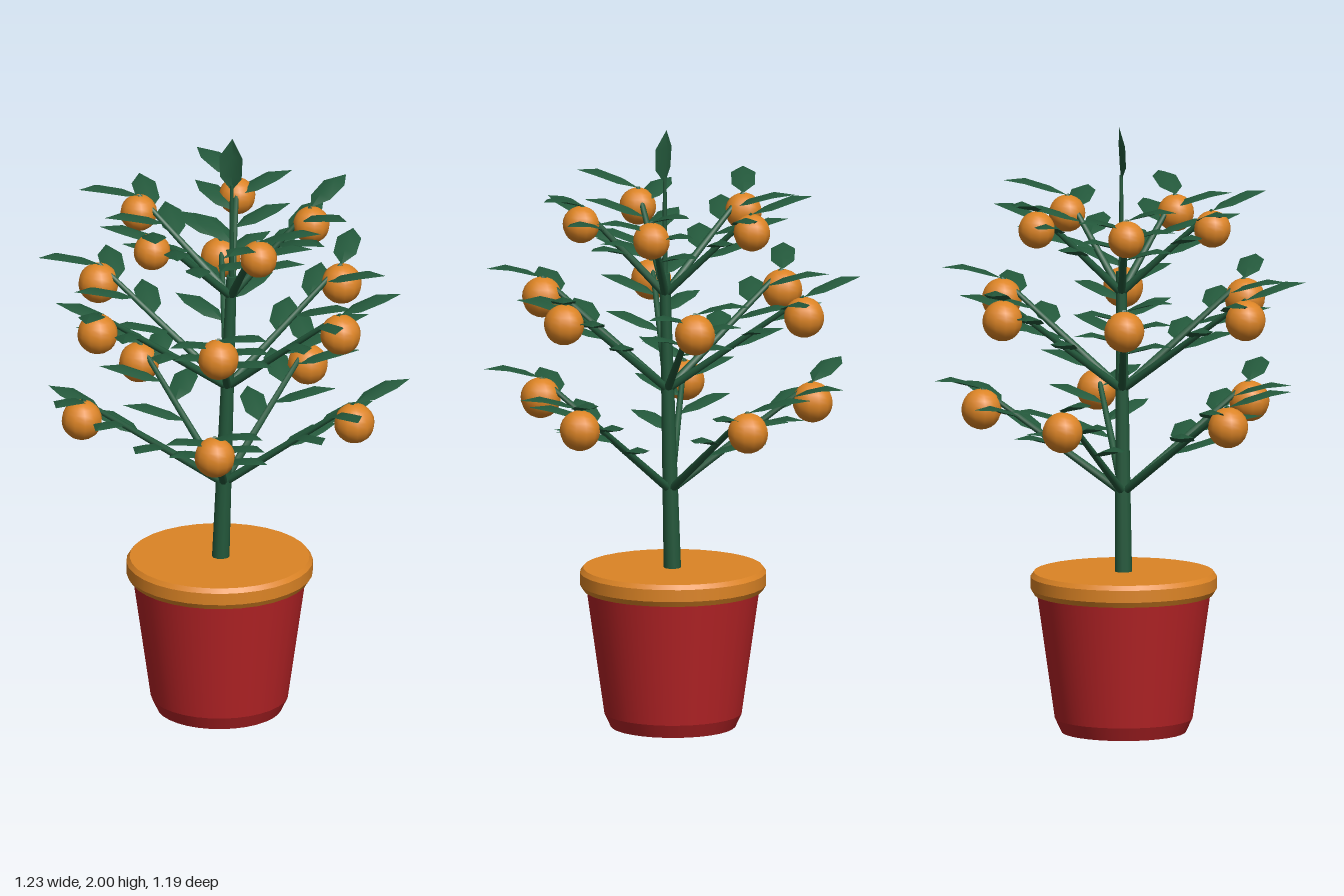
import * as THREE from 'three';

const mat = (name, color, side = THREE.FrontSide) => {
  const m = new THREE.MeshStandardMaterial({ color, side });
  m.name = name;
  return m;
};

// Creased, pointed leaf running along +z; it rises and then levels out by "rise"
function leafGeometry(length, rise) {
  const rows = [[0, 0, 0], [0.27, 0.038, 0.6], [0.66, 0.04, 1.1], [1, 0, 0.95]];
  const pos = [], index = [];
  rows.forEach(([t, half, lift], i) => {
    for (let j = 0; j < 3; j++) {
      const s = j - 1;
      pos.push(s * half, lift * rise - Math.abs(s) * half * 0.35, t * length);
      if (i < 3 && j < 2) {
        const a = i * 3 + j;
        index.push(a, a + 3, a + 4, a, a + 4, a + 1);
      }
    }
  });
  const g = new THREE.BufferGeometry();
  g.setAttribute('position', new THREE.Float32BufferAttribute(pos, 3));
  g.setIndex(index);
  g.computeVertexNormals();
  return g;
}

// Tapered rod between two points
function rod(name, from, to, r0, r1, material, sides = 8) {
  const dir = to.clone().sub(from);
  const mesh = new THREE.Mesh(new THREE.CylinderGeometry(r1, r0, dir.length(), sides), material);
  mesh.position.copy(from).add(to).multiplyScalar(0.5);
  mesh.quaternion.setFromUnitVectors(new THREE.Vector3(0, 1, 0), dir.normalize());
  mesh.name = name;
  return mesh;
}

export function createModel() {
  const green = mat('leafGreen', 0x23583b);
  const leafMat = green;
  leafMat.side = THREE.DoubleSide;
  const orange = mat('orange', 0xdc8425);
  const red = mat('potRed', 0xb62326);
  const V = (x, y, z) => new THREE.Vector3(x, y, z);

  const tree = new THREE.Group();
  tree.name = 'pottedFruitTree';
  tree.position.z = 0.033;

  const lathe = (name, points, material) => {
    // Repeated corner points keep the edges crisp
    const g = new THREE.Group();
    g.name = name;
    for (let i = 0; i < points.length - 1; i++) {
      const pair = [points[i], points[i + 1]].map(p => new THREE.Vector2(...p));
      g.add(new THREE.Mesh(new THREE.LatheGeometry(pair, 32), material));
    }
    g.children.forEach(m => { m.name = name + 'Band'; });
    tree.add(g);
  };

  // Pot, rim and filling
  lathe('pot', [[0, 0], [0.205, 0], [0.226, 0.045], [0.286, 0.47]], red);
  lathe('rim', [[0.28, 0.457], [0.295, 0.457], [0.306, 0.475], [0.306, 0.515], [0.295, 0.53], [0, 0.53]], orange);

  // Trunk, thin leader and the upright leaf at its top
  const trunkX = y => 0.003 + 0.039 * Math.min(1, (y - 0.5) / 1.0);
  tree.add(rod('trunk', V(trunkX(0.5), 0.5, 0), V(trunkX(1.52), 1.52, 0), 0.029, 0.017, green, 10));
  tree.add(rod('leader', V(0.042, 1.5, 0), V(0.042, 1.84, 0), 0.009, 0.006, green));
  const topLeaf = new THREE.Mesh(leafGeometry(0.18, 0.008), leafMat);
  topLeaf.name = 'topLeaf';
  topLeaf.position.set(0.042, 1.82, 0);
  topLeaf.rotation.x = -Math.PI / 2;
  tree.add(topLeaf);

  // Three tiers of branches, each with alternating leaves and a fruit at the tip
  const tiers = [
    { count: 5, start: 0, reach: 0.47, base: 0.79, tip: 1.127, fruit: 0.067 },
    { count: 6, start: 10.5, reach: 0.46, base: 1.13, tip: 1.467, fruit: 0.067 },
    { count: 5, start: -27, reach: 0.303, base: 1.45, tip: 1.742, fruit: 0.061 },
  ];
  const leafGeo = leafGeometry(0.21, 0.05);
  const leafCount = 5, splay = THREE.MathUtils.degToRad(50);

  for (const t of tiers) {
    const fruitGeo = new THREE.SphereGeometry(t.fruit, 12, 12);
    for (let i = 0; i < t.count; i++) {
      const angle = THREE.MathUtils.degToRad(t.start + (i * 360) / t.count);
      const from = V(trunkX(t.base), t.base, 0);
      const to = V(Math.cos(angle) * t.reach, t.tip, Math.sin(angle) * t.reach);
      const branch = new THREE.Group();
      branch.name = 'fruitingBranch';
      branch.add(rod('branch', from, to, 0.014, 0.008, green));

      for (let k = 0; k < leafCount; k++) {
        const leaf = new THREE.Mesh(leafGeo, leafMat);
        leaf.name = 'leaf';
        leaf.position.lerpVectors(from, to, 1 - k * 0.14);
        const heading = angle + (k % 2 ? splay : -splay);
        leaf.rotation.y = Math.PI / 2 - heading;
        branch.add(leaf);
      }

      const fruit = new THREE.Mesh(fruitGeo, orange);
      fruit.name = 'fruit';
      fruit.position.set(to.x, to.y - t.fruit, to.z);
      branch.add(fruit);
      tree.add(branch);
    }
  }

  const model = new THREE.Group();
  model.name = 'model';
  model.add(tree);
  return model;
}
